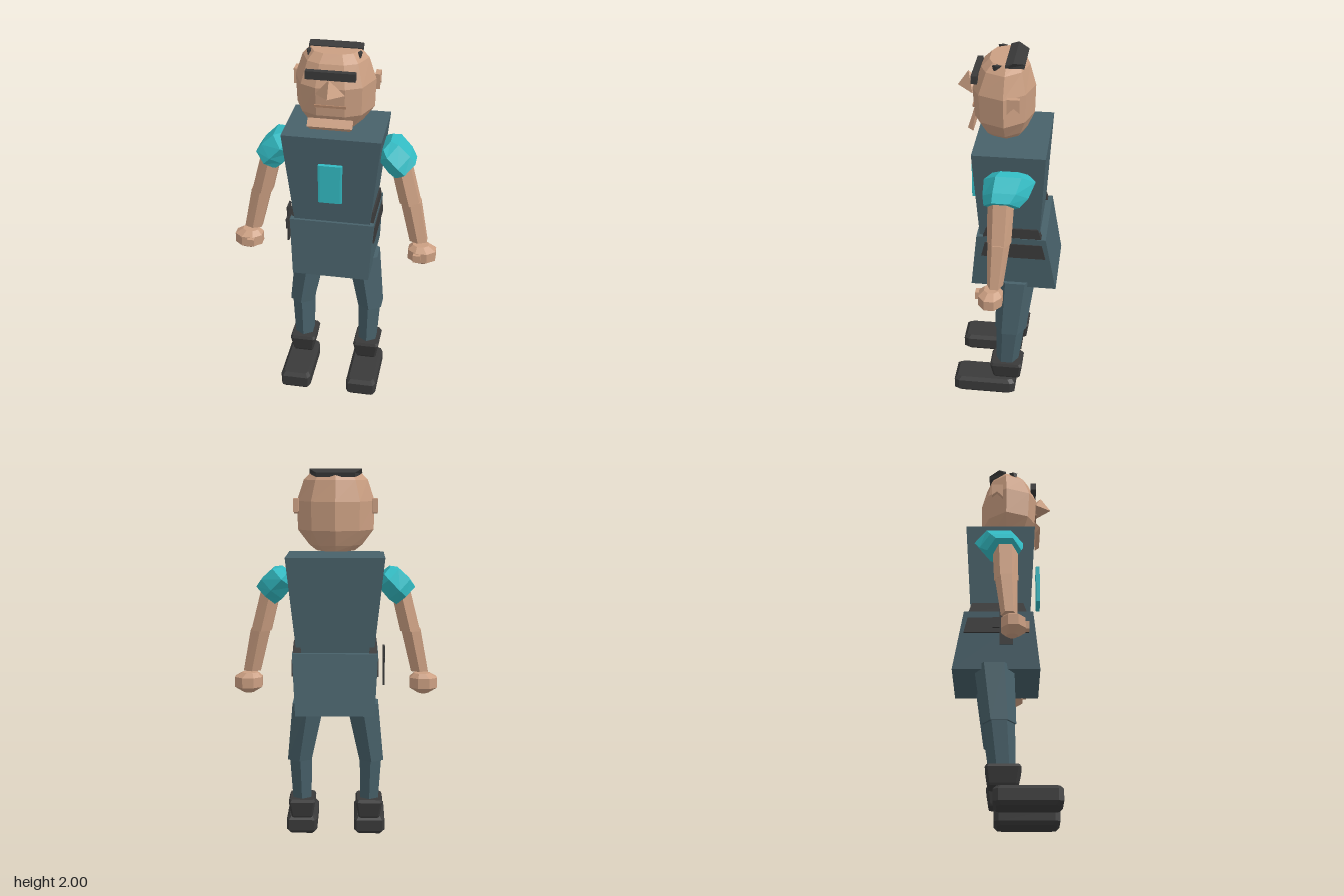
import * as THREE from 'three';

const mat = (name, color) => new THREE.MeshStandardMaterial({ name, color, flatShading: true });

// Regular outline with n sides, phase in parts of one side
const ngon = (n, phase = 0) => Array.from({ length: n }, (_, i) => {
  const a = (i + phase) / n * Math.PI * 2;
  return [Math.sin(a), Math.cos(a)];
});
const SQUARE = [[1, 1], [1, -1], [-1, -1], [-1, 1]];
const BEVELED = [[0.85, 1], [1, 0.85], [1, -0.85], [0.85, -1], [-0.85, -1], [-1, -0.85], [-1, 0.85], [-0.85, 1]];
// Skull outline: flat face, pointed back
const SKULL = [[0.36, 1], [0.75, 0.74], [1, -0.08], [0.62, -0.74], [0, -1], [-0.62, -0.74], [-1, -0.08], [-0.75, 0.74], [-0.36, 1]];

// Closed solid through rings [cx, y, cz, rx, rz], listed bottom to top
function loft(outline, rings) {
  const n = outline.length, pos = [], idx = [];
  for (const [cx, y, cz, rx, rz] of rings) for (const [u, v] of outline) pos.push(cx + u * rx, y, cz + v * rz);
  for (let r = 0; r < rings.length - 1; r++) for (let i = 0; i < n; i++) {
    const a = r * n + i, b = r * n + (i + 1) % n;
    idx.push(a, b, b + n, a, b + n, a + n);
  }
  const top = (rings.length - 1) * n;
  for (let i = 1; i < n - 1; i++) idx.push(0, i + 1, i, top, top + i, top + i + 1);
  return solid(pos, idx);
}

function solid(pos, idx) {
  const g = new THREE.BufferGeometry();
  g.setAttribute('position', new THREE.Float32BufferAttribute(pos, 3));
  g.setIndex(idx);
  const flat = g.toNonIndexed();
  flat.computeVertexNormals();
  return flat;
}

export function createModel() {
  const skin = mat('skin', 0xcb9f82), lip = mat('lips', 0xb08468), slate = mat('slate cloth', 0x48616a);
  const teal = mat('teal cloth', 0x33bbc3), dark = mat('charcoal', 0x3a3a3a);
  const model = new THREE.Group();
  model.name = 'figure';
  const add = (name, geo, material, parent = model) => {
    const m = new THREE.Mesh(geo, material);
    m.name = name;
    parent.add(m);
    return m;
  };
  const box = (name, x, y, z, w, h, d, material) => {
    const m = add(name, new THREE.BoxGeometry(w, h, d), material);
    m.position.set(x, y, z);
    return m;
  };

  // Tunic and skirt
  add('torso', loft(SQUARE, [[0, 1.02, -0.03, 0.2, 0.155], [0, 1.55, -0.03, 0.258, 0.186]]), slate);
  add('skirt', loft(SQUARE, [[0, 0.73, -0.052, 0.207, 0.228], [0, 1.05, -0.04, 0.225, 0.182]]), slate);
  add('chestPanel', loft(BEVELED, [[0, 1.195, 0.175, 0.062, 0.011], [0, 1.41, 0.175, 0.062, 0.011]]), teal);

  // Head
  add('head', loft(SKULL, [
    [0, 1.57, 0.005, 0.1, 0.085], [0, 1.6, 0.01, 0.14, 0.11], [0, 1.68, 0.012, 0.2, 0.148],
    [0, 1.83, 0.015, 0.205, 0.155], [0, 1.94, 0.008, 0.168, 0.118], [0, 1.98, 0.002, 0.13, 0.085],
  ]), skin);
  box('brow', 0, 1.895, 0.155, 0.25, 0.042, 0.03, dark);
  box('mouth', 0, 1.735, 0.167, 0.16, 0.012, 0.008, lip);
  // Nose: bridge, two nostril corners and a tip
  add('nose', solid(
    [0, 1.89, 0.2, -0.075, 1.8, 0.17, 0.075, 1.8, 0.17, 0, 1.81, 0.255, 0, 1.86, 0.165],
    [0, 1, 3, 0, 3, 2, 1, 2, 3, 0, 4, 1, 0, 2, 4, 4, 2, 1]), skin);
  // Jutting chin wedge
  add('chin', solid(
    [-0.115, 1.665, 0.16, 0.115, 1.665, 0.16, -0.115, 1.63, 0.19, 0.115, 1.63, 0.19, -0.1, 1.605, 0.165, 0.1, 1.605, 0.165],
    [0, 2, 3, 0, 3, 1, 2, 4, 5, 2, 5, 3, 0, 1, 5, 0, 5, 4, 0, 4, 2, 1, 3, 5]), skin);
  // Flat ridge of hair
  add('hair', solid(
    [-0.1, 1.978, -0.095, 0.1, 1.978, -0.095, -0.137, 1.997, -0.04, 0.137, 1.997, -0.04, -0.137, 1.985, 0, 0.137, 1.985, 0,
      -0.1, 1.955, -0.09, 0.1, 1.955, -0.09, -0.137, 1.97, 0, 0.137, 1.97, 0],
    [0, 2, 3, 0, 3, 1, 2, 4, 5, 2, 5, 3, 4, 8, 9, 4, 9, 5, 0, 1, 7, 0, 7, 6,
      6, 7, 9, 6, 9, 8, 0, 6, 8, 0, 8, 2, 2, 8, 4, 1, 9, 7, 1, 3, 9, 3, 5, 9]), dark);

  // Notched ear profile
  const earShape = new THREE.Shape([[-0.032, 0.04], [-0.032, -0.04], [0, -0.005], [0.03, -0.03], [0.03, 0.04]]
    .map(([x, y]) => new THREE.Vector2(x, y)));

  for (const s of [1, -1]) {
    const side = new THREE.Group();
    side.name = s > 0 ? 'leftSide' : 'rightSide';
    model.add(side);

    const ear = add('ear', new THREE.ExtrudeGeometry(earShape, { depth: 0.026, bevelEnabled: false }), skin, side);
    ear.rotation.y = Math.PI / 2;
    ear.position.set(s > 0 ? 0.194 : -0.22, 1.805, -0.05);
    const tuft = add('hairTuft', loft(ngon(4), [[0, -0.02, 0.01, 0.004, 0.008], [0, 0.012, 0, 0.012, 0.024]]), dark, side);
    tuft.position.set(s * 0.128, 1.968, 0.04);

    // Sleeve, leaning outward
    const sleeve = add('sleeve', loft(ngon(6), [
      [0, 0, -0.01, 0.078, 0.09], [0, 0.05, -0.025, 0.087, 0.115], [0, 0.135, -0.04, 0.08, 0.13], [0, 0.17, -0.04, 0.05, 0.09],
    ]), teal, side);
    sleeve.position.set(s * 0.372, 1.335, 0);
    sleeve.rotation.z = s * 0.76;

    // Arm and fist
    const arm = ngon(6);
    add('upperArm', loft(arm, [[s * 0.4, 1.14, 0, 0.062, 0.062], [s * 0.338, 1.39, -0.005, 0.06, 0.068]]), skin, side);
    add('forearm', loft(arm, [[s * 0.455, 0.915, 0.015, 0.053, 0.042], [s * 0.404, 1.15, 0, 0.06, 0.058]]), skin, side);
    add('fist', loft(ngon(8, 0.5), [
      [s * 0.478, 0.79, 0.03, 0.03, 0.03], [s * 0.478, 0.82, 0.035, 0.08, 0.066],
      [s * 0.478, 0.875, 0.035, 0.08, 0.066], [s * 0.47, 0.9, 0.03, 0.045, 0.04],
    ]), skin, side);
    add('finger', new THREE.BoxGeometry(0.04, 0.042, 0.03), skin, side).position.set(s * 0.456, 0.852, 0.1);

    // Leg
    const leg = ngon(6);
    add('thigh', loft(leg, [[s * 0.195, 0.435, -0.035, 0.075, 0.086], [s * 0.145, 0.76, -0.062, 0.098, 0.105]]), slate, side);
    add('shin', loft(leg, [[s * 0.184, 0.19, -0.015, 0.056, 0.062], [s * 0.19, 0.44, -0.035, 0.067, 0.078]]), slate, side);

    // Boot cuff and shoe
    add('bootCuff', loft(BEVELED, [
      [s * 0.184, 0.105, -0.017, 0.054, 0.072], [s * 0.184, 0.115, -0.017, 0.058, 0.076],
      [s * 0.184, 0.195, -0.015, 0.073, 0.09], [s * 0.184, 0.21, -0.015, 0.066, 0.082],
    ]), dark, side);
    add('shoe', loft(BEVELED, [
      [s * 0.187, 0, 0.107, 0.068, 0.155], [s * 0.187, 0.02, 0.107, 0.084, 0.172],
      [s * 0.187, 0.08, 0.107, 0.084, 0.172], [s * 0.187, 0.1, 0.107, 0.068, 0.155],
    ]), dark, side);

    // Belt pouches at the hip
    add('upperPouch', loft(SQUARE, [[s * 0.2, 1.045, -0.045, 0.022, 0.155], [s * 0.2, 1.105, -0.045, 0.018, 0.135]]), dark, side);
    add('lowerPouch', loft(SQUARE, [[s * 0.212, 0.93, -0.052, 0.015, 0.17], [s * 0.214, 1.015, -0.052, 0.013, 0.15]]), dark, side);
  }

  // Tool hanging beside the right hip
  box('toolHandle', -0.26, 0.95, 0, 0.01, 0.21, 0.07, dark);
  box('toolCrossbar', -0.26, 0.97, 0, 0.008, 0.06, 0.14, dark);
  return model;
}
